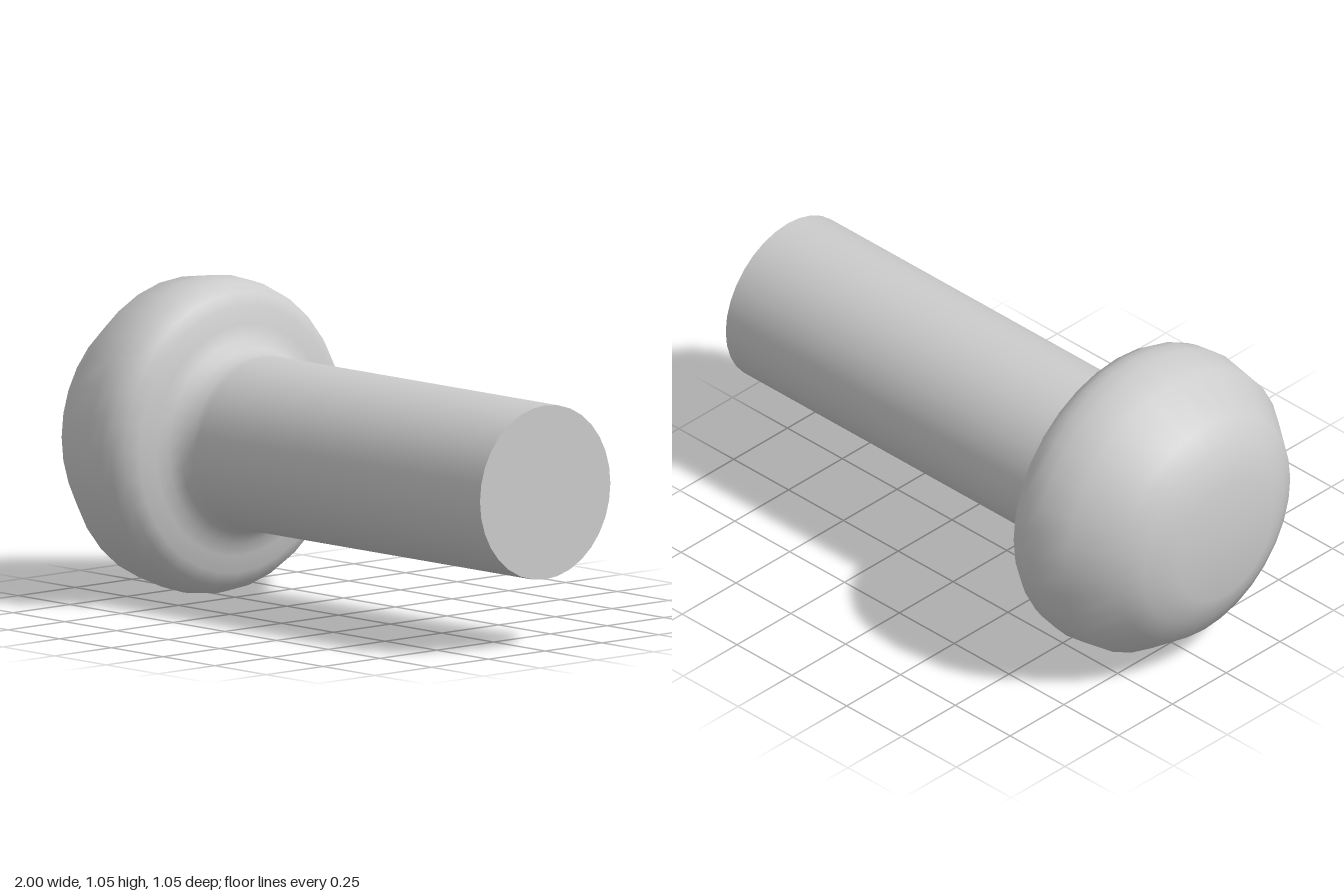
import * as THREE from 'three';

const SIDES = 32;
const AXIS_Y = 0.5265;
const SHANK_RADIUS = 0.287;
const SHANK_START = -0.35;

export function createModel() {
  const model = new THREE.Group();
  model.name = 'rivet';
  const material = new THREE.MeshStandardMaterial({ color: 0xcccccc });

  const add = (name, geometry) => {
    const mesh = new THREE.Mesh(geometry, material);
    mesh.name = name;
    mesh.position.y = AXIS_Y;
    model.add(mesh);
  };

  // Domed head with a fillet into the shank: [x along axis, radius]
  const profile = [
    [-1, 0], [-1, 0.214], [-0.944, 0.325], [-0.9, 0.4], [-0.757, 0.504],
    [-0.634, 0.523], [-0.58, 0.518], [-0.543, 0.508], [-0.503, 0.482],
    [-0.48, 0.44], [-0.467, 0.383], [-0.452, 0.337], [-0.425, 0.304],
    [-0.385, 0.289], [-0.365, SHANK_RADIUS], [SHANK_START, SHANK_RADIUS],
  ].map(([x, r]) => new THREE.Vector2(r, x));
  add('head', new THREE.LatheGeometry(profile, SIDES).rotateZ(-Math.PI / 2));

  // Straight shank, open at both ends
  const length = 1 - SHANK_START;
  add('shank', new THREE.CylinderGeometry(SHANK_RADIUS, SHANK_RADIUS, length, SIDES, 1, true)
    .rotateZ(-Math.PI / 2)
    .translate(SHANK_START + length / 2, 0, 0));

  // Flat cut end of the shank
  add('shankEnd', new THREE.CircleGeometry(SHANK_RADIUS, SIDES)
    .rotateY(Math.PI / 2)
    .translate(1, 0, 0));

  return model;
}
